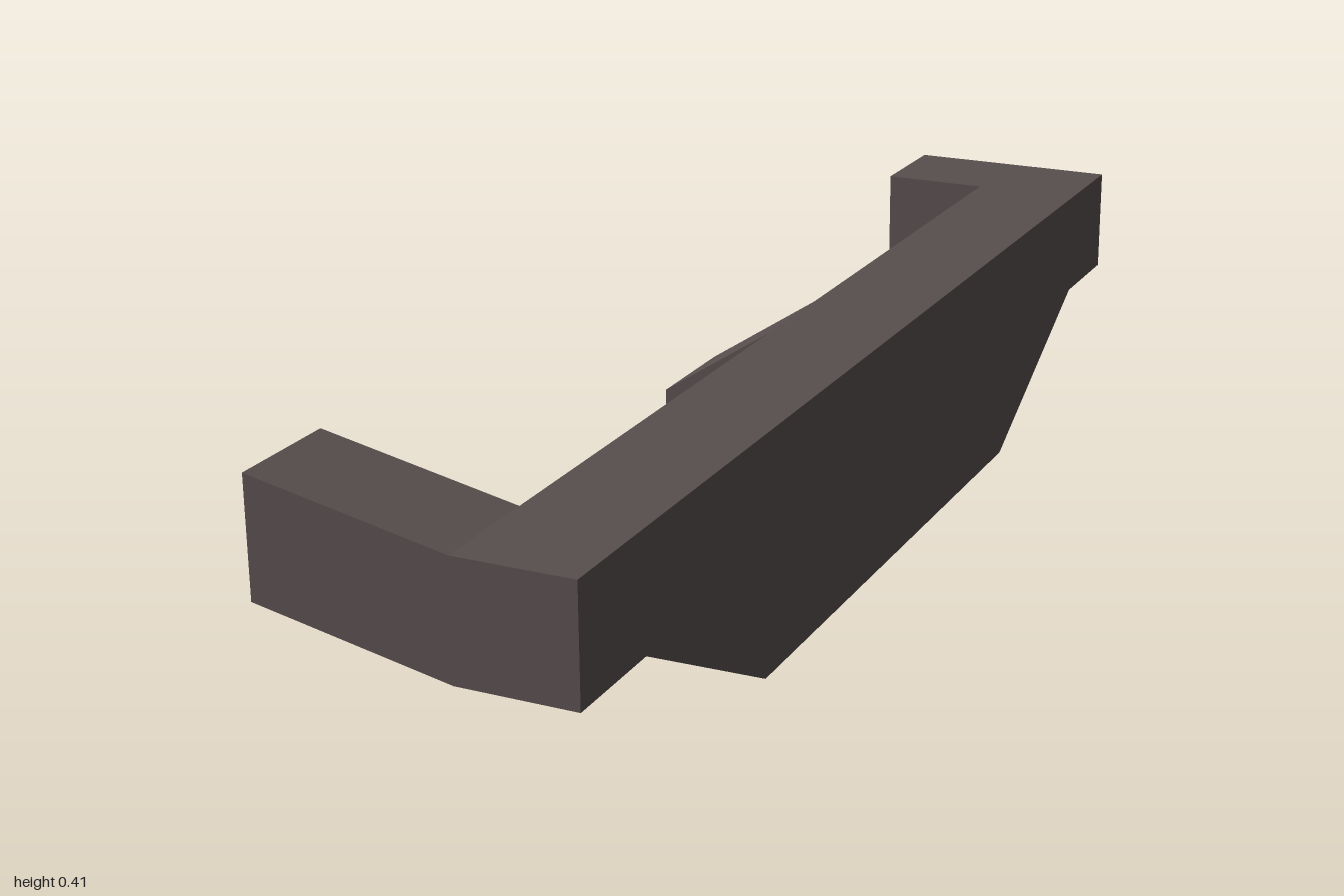
import * as THREE from 'three';

const IN = 0.057, OUT = 0.229;   // inner and outer x of the beam
const TOP = 0.357, LOW = 0.187;  // beam heights at its ends

// Mesh from flat polygons, each drawn as a triangle fan
function polyMesh(name, faces, material) {
  const pos = [];
  for (const f of faces)
    for (let i = 1; i < f.length - 1; i++) pos.push(...f[0], ...f[i], ...f[i + 1]);
  const geo = new THREE.BufferGeometry();
  geo.setAttribute('position', new THREE.Float32BufferAttribute(pos, 3));
  geo.computeVertexNormals();
  const mesh = new THREE.Mesh(geo, material);
  mesh.name = name;
  return mesh;
}

// Place a [z, y] outline at a given x
const ring = (x, outline) => outline.map(([z, y]) => [x, y, z]);

// Quads joining two matching outlines (a is on the -x side)
const skin = (a, b) => a.map((p, i) => {
  const j = (i + 1) % a.length;
  return [p, b[i], b[j], a[j]];
});

export function createModel() {
  const group = new THREE.Group();
  const wood = new THREE.MeshStandardMaterial({ color: 0x584e4e, side: THREE.DoubleSide });
  wood.name = 'dark brown';

  // Long beam with a tapered belly
  const outline = [[-1, TOP], [-1, LOW], [-0.83, LOW], [-0.48, 0], [0.475, 0], [0.83, LOW], [1, LOW], [1, TOP]];
  const outer = ring(OUT, outline);
  const sides = skin(ring(IN, outline), outer);
  group.add(polyMesh('beam', [...sides, [outer[0], ...outer.slice(1).reverse()]], wood));

  // Inner wall between the arms
  group.add(polyMesh('innerWall', [
    ring(IN, [[-0.83, TOP], [-0.83, LOW], [-0.48, 0], [-0.087, 0], [-0.087, TOP]]),
    ring(IN, [[0.083, TOP], [0.083, 0], [0.475, 0], [0.83, LOW], [0.83, TOP]]),
  ], wood));

  // Arms reaching to -x: hollow, the back one closed at its end
  const arms = [
    { name: 'frontArm', z: [0.83, 1], root: [LOW, TOP], tip: [0.244, 0.415], x: -0.229 },
    { name: 'middleArm', z: [-0.087, 0.083], root: [0, TOP], tip: [0.072, 0.243], x: -0.114 },
    { name: 'backArm', z: [-1, -0.83], root: [LOW, TOP], tip: [LOW, TOP], x: -0.114, closed: true },
  ];
  for (const { name, z: [z0, z1], root, tip, x, closed } of arms) {
    const rect = ([lo, hi]) => [[z0, lo], [z1, lo], [z1, hi], [z0, hi]];
    const end = ring(x, rect(tip));
    const faces = skin(end, ring(IN, rect(root)));
    if (closed) faces.push(end);
    group.add(polyMesh(name, faces, wood));
  }
  return group;
}
